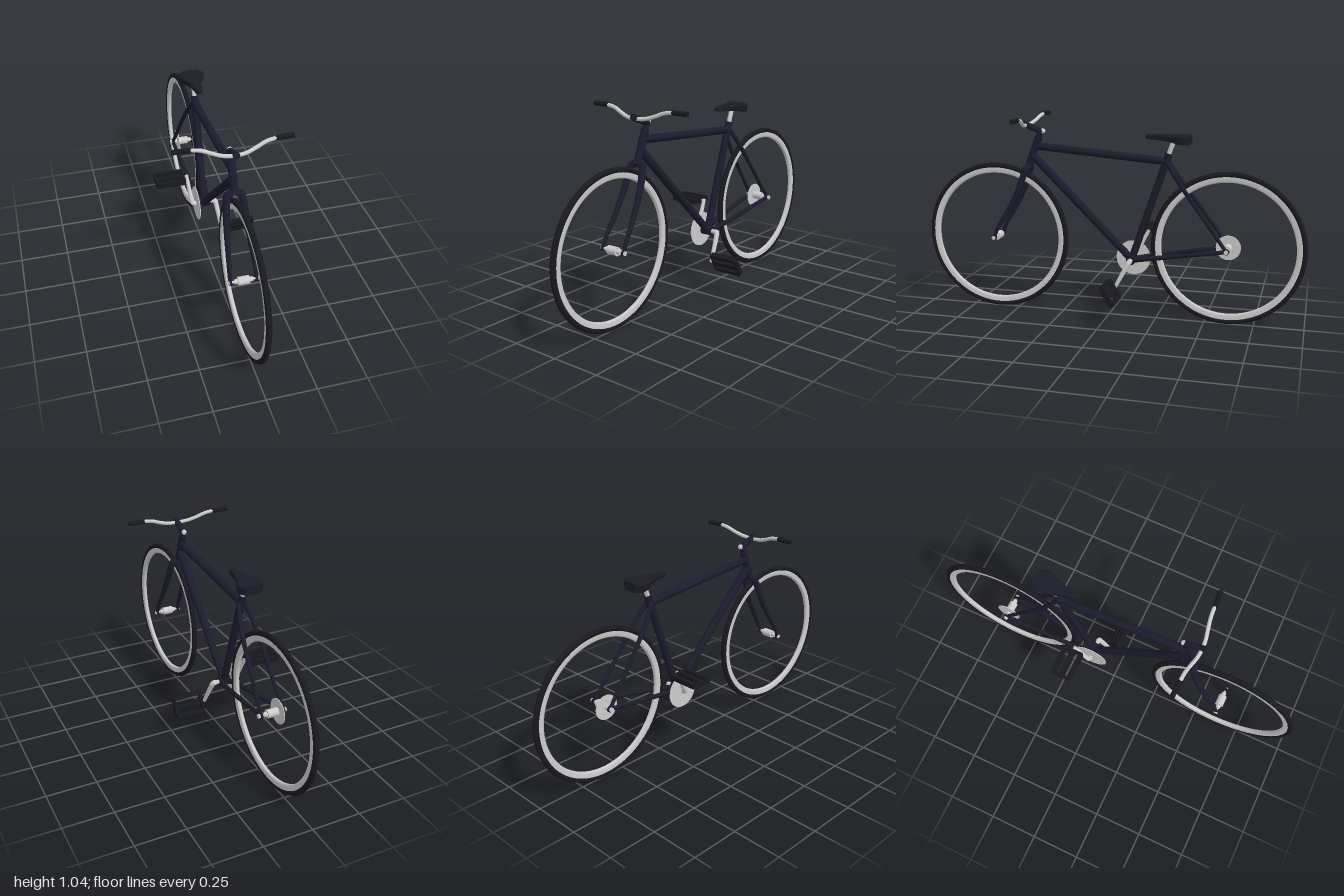
import * as THREE from 'three';

const V = (x, y, z) => new THREE.Vector3(x, y, z);
const paint = new THREE.MeshStandardMaterial({ color: 0x1b1b2c });
const rubber = new THREE.MeshStandardMaterial({ color: 0x181820 });
const metal = new THREE.MeshStandardMaterial({ color: 0xcccccc });
const saddleMat = new THREE.MeshStandardMaterial({ color: 0x1b1b28, flatShading: true });

const AXLE_Y = 0.39, AXLE_Z = 0.61;
const BB = V(0, 0.305, -0.12);

function add(parent, name, geometry, material) {
  const mesh = new THREE.Mesh(geometry, material);
  mesh.name = name;
  parent.add(mesh);
  return mesh;
}

// Straight cylinder between two points
function rod(parent, name, a, b, r1, r2 = r1, material = paint, sides = 20) {
  const mesh = add(parent, name, new THREE.CylinderGeometry(r2, r1, a.distanceTo(b), sides), material);
  mesh.position.copy(a).lerp(b, 0.5);
  mesh.quaternion.setFromUnitVectors(V(0, 1, 0), b.clone().sub(a).normalize());
  return mesh;
}

// Curved tube whose radius runs from r1 to r2, closed at both ends
function taperTube(parent, name, points, r1, r2, material) {
  const curve = new THREE.CatmullRomCurve3(points);
  const rings = 40, sides = 14;
  const geo = new THREE.TubeGeometry(curve, rings, 1, sides, false);
  const pos = geo.attributes.position, v = V(0, 0, 0);
  for (let i = 0; i <= rings; i++) {
    const c = curve.getPointAt(i / rings);
    const r = i === 0 || i === rings ? 0 : THREE.MathUtils.lerp(r1, r2, i / rings);
    for (let j = 0; j <= sides; j++) {
      const k = i * (sides + 1) + j;
      v.fromBufferAttribute(pos, k).sub(c).multiplyScalar(r).add(c);
      pos.setXYZ(k, v.x, v.y, v.z);
    }
  }
  return add(parent, name, geo, material);
}

// Tyre, rim, hub and axle; the wheel turns about x
function wheel(name, z) {
  const g = new THREE.Group();
  g.name = name;
  g.position.set(0, AXLE_Y, z);
  add(g, 'tyre', new THREE.TorusGeometry(0.376, 0.014, 14, 96), rubber).rotation.y = Math.PI / 2;
  const rim = [[0.366, -0.011], [0.345, -0.011], [0.337, -0.006], [0.337, 0.006], [0.345, 0.011], [0.366, 0.011]];
  const rimMat = metal.clone();
  rimMat.side = THREE.DoubleSide;
  add(g, 'rim', new THREE.LatheGeometry(rim.map(p => new THREE.Vector2(...p)), 96), rimMat).rotation.z = Math.PI / 2;
  rod(g, 'axle', V(-0.074, 0, 0), V(0.074, 0, 0), 0.006, 0.006, metal);
  rod(g, 'hub', V(-0.045, 0, 0), V(0.045, 0, 0), 0.012, 0.012, metal);
  rod(g, 'hubShell', V(-0.028, 0, 0), V(0.028, 0, 0), 0.021, 0.021, metal);
  for (const s of [-1, 1]) rod(g, 'axleNut', V(s * 0.064, 0, 0), V(s * 0.074, 0, 0), 0.011, 0.011, metal, 12);
  return g;
}

// Flat pedal plate with two slots
function pedalGeometry() {
  const w = 0.08, d = 0.057, r = 0.012;
  const s = new THREE.Shape();
  s.moveTo(-w + r, -d);
  s.lineTo(w - r, -d);
  s.quadraticCurveTo(w, -d, w, -d + r);
  s.lineTo(w, d - r);
  s.quadraticCurveTo(w, d, w - r, d);
  s.lineTo(-w + r, d);
  s.quadraticCurveTo(-w, d, -w, d - r);
  s.lineTo(-w, -d + r);
  s.quadraticCurveTo(-w, -d, -w + r, -d);
  for (const y of [-0.024, 0.024]) {
    const h = new THREE.Path();
    h.moveTo(-0.068, y - 0.012);
    h.lineTo(-0.068, y + 0.012);
    h.lineTo(0.068, y + 0.012);
    h.lineTo(0.068, y - 0.012);
    h.closePath();
    s.holes.push(h);
  }
  return new THREE.ExtrudeGeometry(s, { depth: 0.026, bevelEnabled: false, curveSegments: 6 }).translate(0, 0, -0.013);
}

// Saddle lofted from bevelled sections: z, half width, bottom, top
function saddleGeometry() {
  const stations = [
    [-0.19, 0.01, 0.934, 0.949], [-0.205, 0.018, 0.930, 0.953], [-0.27, 0.027, 0.926, 0.953], [-0.32, 0.045, 0.920, 0.953],
    [-0.36, 0.066, 0.912, 0.953], [-0.385, 0.067, 0.909, 0.953], [-0.415, 0.042, 0.908, 0.951],
  ];
  const pos = [], idx = [], n = 6;
  for (const [z, w, b, t] of stations) {
    const e = t - 0.007;
    pos.push(w * 0.88, b, z, w, e, z, w * 0.85, t, z, -w * 0.85, t, z, -w, e, z, -w * 0.88, b, z);
  }
  const last = (stations.length - 1) * n;
  for (let i = 0; i < last; i += n) {
    for (let j = 0; j < n; j++) {
      const a = i + j, b = i + (j + 1) % n;
      idx.push(a, a + n, b, b, a + n, b + n);
    }
  }
  for (let j = 1; j < n - 1; j++) idx.push(0, j, j + 1, last, last + j + 1, last + j);
  const geo = new THREE.BufferGeometry();
  geo.setAttribute('position', new THREE.Float32BufferAttribute(pos, 3));
  geo.setIndex(idx);
  geo.computeVertexNormals();
  return geo;
}

export function createModel() {
  const bike = new THREE.Group();
  bike.name = 'bicycle';

  // Wheels and rear sprocket
  const rear = wheel('rearWheel', -AXLE_Z);
  rod(rear, 'sprocket', V(-0.033, 0, 0), V(-0.029, 0, 0), 0.063, 0.063, metal, 48);
  bike.add(wheel('frontWheel', AXLE_Z), rear);

  // Frame
  const frame = new THREE.Group();
  frame.name = 'frame';
  bike.add(frame);
  const seatTop = V(0, 0.86, -0.307);
  rod(frame, 'headTube', V(0, 0.78, 0.427), V(0, 0.925, 0.373), 0.019);
  rod(frame, 'topTube', V(0, 0.876, 0.39), V(0, 0.82, -0.295), 0.02);
  rod(frame, 'downTube', V(0, 0.83, 0.41), BB, 0.022, 0.019);
  rod(frame, 'seatTube', BB, seatTop, 0.019);
  rod(frame, 'bottomBracket', V(-0.03, BB.y, BB.z), V(0.03, BB.y, BB.z), 0.024);
  for (const s of [-1, 1]) {
    taperTube(frame, 'seatStay', [V(s * 0.012, 0.83, -0.29), V(s * 0.034, 0.74, -0.352), V(s * 0.058, AXLE_Y, -AXLE_Z)], 0.012, 0.009, paint);
    taperTube(frame, 'chainStay', [V(s * 0.018, BB.y, -0.125), V(s * 0.034, 0.325, -0.23), V(s * 0.058, AXLE_Y, -AXLE_Z)], 0.013, 0.01, paint);
    rod(frame, 'rearDropout', V(s * 0.053, AXLE_Y, -AXLE_Z), V(s * 0.063, AXLE_Y, -AXLE_Z), 0.015);
  }

  // Fork
  const fork = new THREE.Group();
  fork.name = 'fork';
  bike.add(fork);
  for (const s of [-1, 1]) {
    taperTube(fork, 'forkBlade', [
      V(0, 0.768, 0.43), V(s * 0.03, 0.763, 0.432), V(s * 0.041, 0.72, 0.449), V(s * 0.048, 0.64, 0.478),
      V(s * 0.057, 0.52, 0.541), V(s * 0.063, 0.44, 0.59), V(s * 0.064, 0.38, 0.612),
    ], 0.019, 0.009, paint);
    rod(fork, 'frontDropout', V(s * 0.058, AXLE_Y, AXLE_Z), V(s * 0.069, AXLE_Y, AXLE_Z), 0.014);
  }

  // Stem and handlebar
  const steering = new THREE.Group();
  steering.name = 'steering';
  bike.add(steering);
  rod(steering, 'steerer', V(0, 0.92, 0.375), V(0, 0.957, 0.361), 0.014);
  rod(steering, 'stem', V(0, 0.948, 0.353), V(0, 0.99, 0.458), 0.016);
  add(steering, 'stemCap', new THREE.SphereGeometry(0.014, 16, 12), metal).position.set(0, 0.953, 0.352);
  const half = [[0.2, 1.024, 0.414], [0.15, 1.016, 0.417], [0.1, 0.997, 0.426], [0.05, 0.983, 0.437]];
  const barPath = [
    ...half.map(([x, y, z]) => V(-x, y, z)), V(0, 0.98, 0.441),
    ...half.map(([x, y, z]) => V(x, y, z)).reverse(),
  ];
  taperTube(steering, 'handlebar', barPath, 0.0095, 0.0095, metal);
  for (const s of [-1, 1]) rod(steering, 'grip', V(s * 0.198, 1.024, 0.414), V(s * 0.279, 1.024, 0.411), 0.012, 0.012, rubber);

  // Saddle and post
  rod(bike, 'seatPost', seatTop, V(0, 0.935, -0.334), 0.012, 0.012, metal);
  add(bike, 'saddle', saddleGeometry(), saddleMat);

  // Cranks, chainring and pedals
  const drive = new THREE.Group();
  drive.name = 'crankset';
  drive.position.copy(BB);
  bike.add(drive);
  rod(drive, 'crankAxle', V(-0.066, 0, 0), V(0.066, 0, 0), 0.011, 0.011, metal);
  rod(drive, 'chainring', V(-0.044, 0, 0), V(-0.04, 0, 0), 0.09, 0.09, metal, 64);
  for (const s of [-1, 1]) {
    const y = -s * 0.135, z = s * 0.07;
    taperTube(drive, 'crankArm', [
      V(s * 0.044, 0, 0), V(s * 0.06, y * 0.02, z * 0.02), V(s * 0.067, y * 0.25, z * 0.25), V(s * 0.078, y * 1.07, z * 1.07),
    ], 0.014, 0.009, metal);
    rod(drive, 'pedalSpindle', V(s * 0.072, y, z), V(s * 0.12, y, z), 0.006, 0.006, metal);
    const pedal = add(drive, 'pedal', pedalGeometry(), rubber);
    pedal.position.set(s * 0.171, y, z);
    pedal.rotation.x = s > 0 ? Math.PI / 6 : -Math.PI / 2;
  }
  return bike;
}
